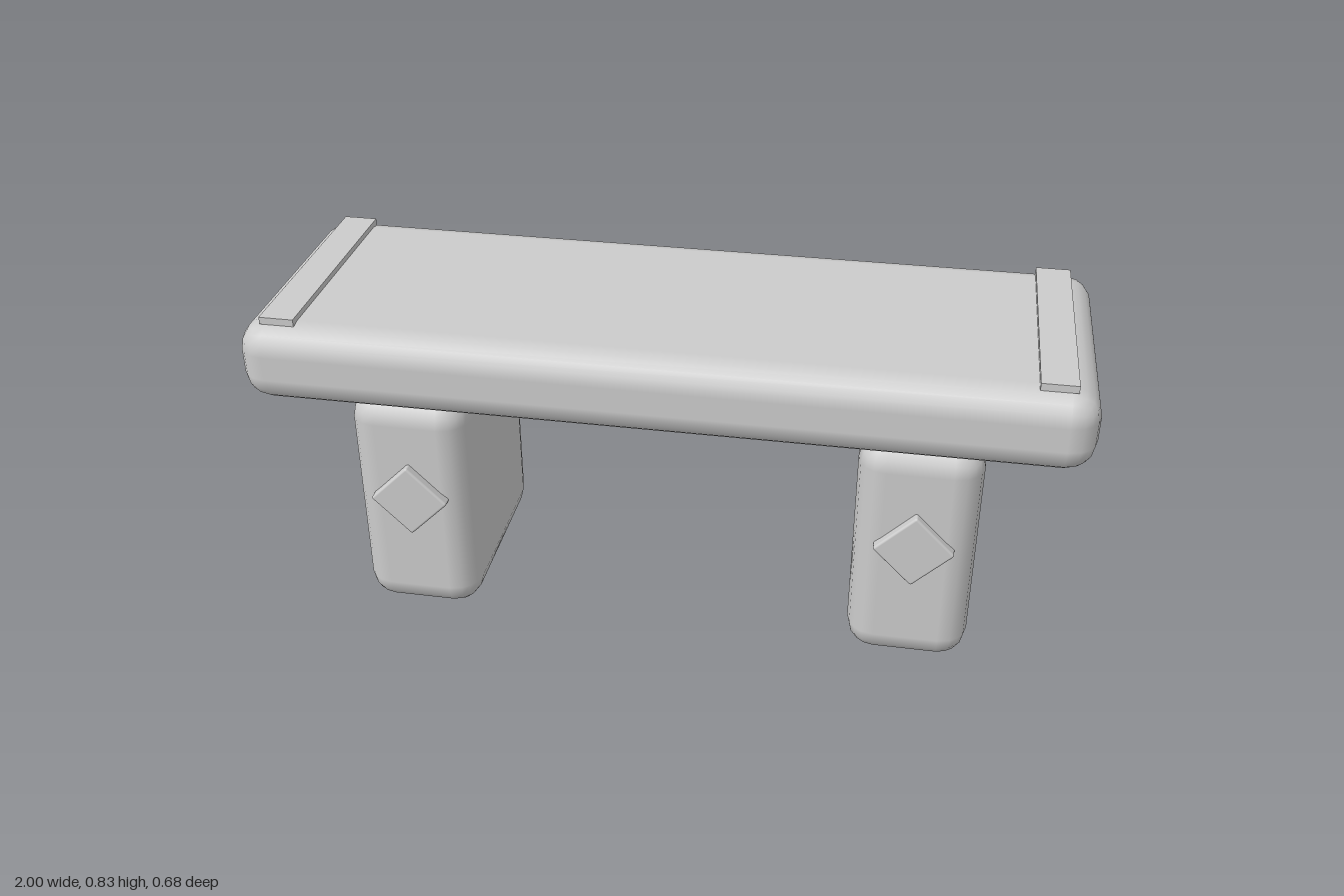
import * as THREE from 'three';
import { RoundedBoxGeometry } from 'three/addons/geometries/RoundedBoxGeometry.js';

export function createModel() {
  const group = new THREE.Group();
  group.name = 'bench';
  const stone = new THREE.MeshStandardMaterial({ color: 0xcccccc });
  stone.name = 'pale grey stone';

  const add = (name, geometry, x, y, z) => {
    const mesh = new THREE.Mesh(geometry, stone);
    mesh.name = name;
    mesh.position.set(x, y, z);
    group.add(mesh);
    return mesh;
  };

  // Thick seat slab with soft edges
  add('seat', new RoundedBoxGeometry(2, 0.2, 0.68, 2, 0.07), 0, 0.712, 0);

  // Each end: block leg, diamond ornament on its front, thin strip across the seat
  for (const [side, s] of [['left', 1], ['right', -1]]) {
    add(side + 'Leg', new RoundedBoxGeometry(0.295, 0.612, 0.55, 2, 0.07), s * 0.62, 0.306, 0);

    const diamond = add(side + 'Diamond',
      new RoundedBoxGeometry(0.138, 0.138, 0.04, 2, 0.006), s * 0.62, 0.343, 0.277);
    diamond.rotation.z = Math.PI / 4;

    add(side + 'SeatStrip', new THREE.BoxGeometry(0.084, 0.018, 0.588), s * 0.9, 0.817, 0);
  }
  return group;
}
